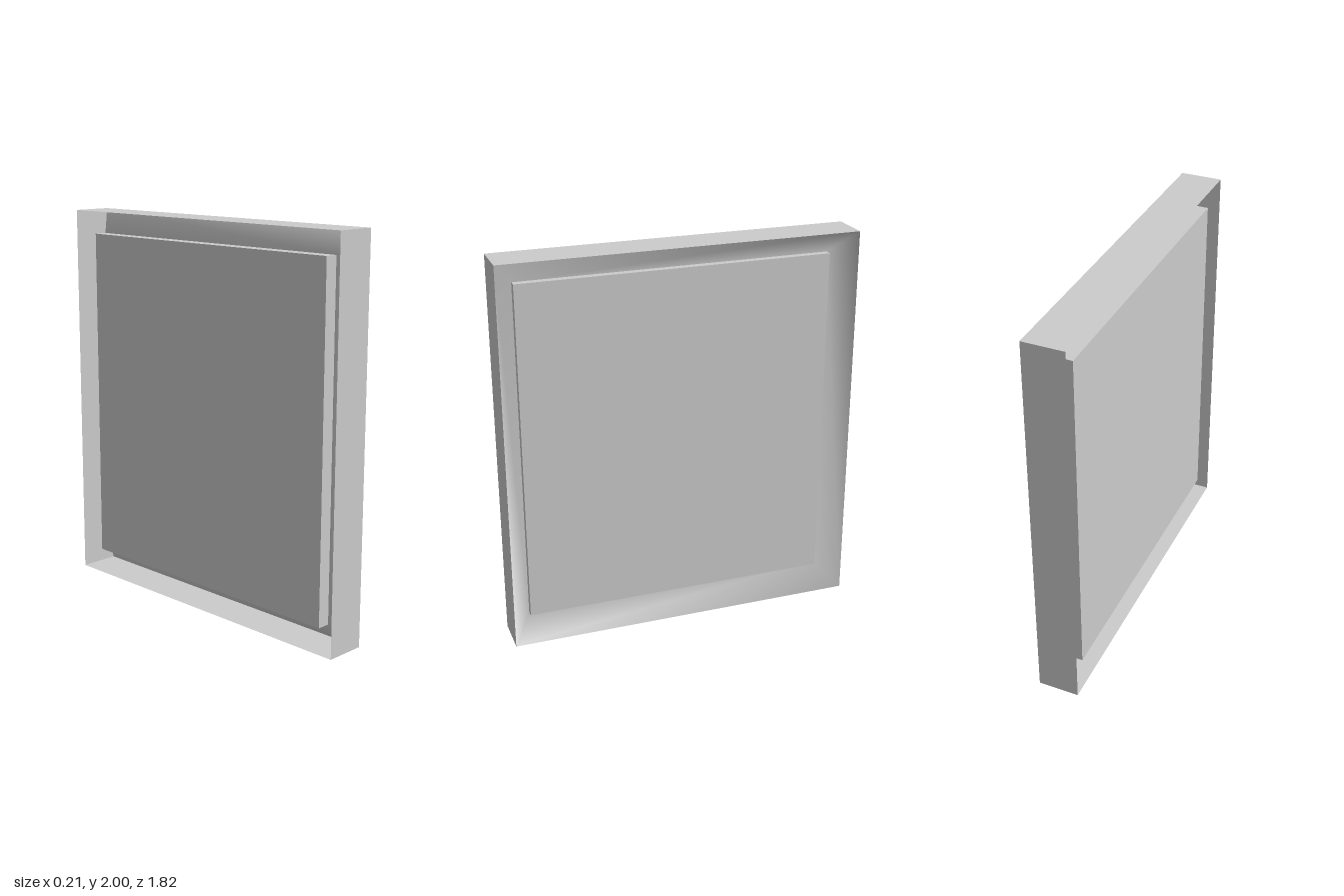
import * as THREE from 'three';

const HALF_X = 0.105; // half the depth of the frame
const DISH_X = -0.01; // depth of the sunken backing

// Rectangle of four corners at depth x, counter-clockwise seen from +x
function ring(x, z0, z1, y0, y1) {
  return [[x, y0, z1], [x, y0, z0], [x, y1, z0], [x, y1, z1]];
}

// Band of quads between two rings, optionally closed by a flat quad on the second
function loft(a, b, closed) {
  const index = [];
  for (let i = 0; i < 4; i++) {
    const j = (i + 1) % 4;
    index.push(i, j, 4 + j, i, 4 + j, 4 + i);
  }
  if (closed) index.push(4, 5, 6, 4, 6, 7);
  const geometry = new THREE.BufferGeometry();
  geometry.setAttribute('position', new THREE.Float32BufferAttribute([...a, ...b].flat(), 3));
  geometry.setIndex(index);
  geometry.computeVertexNormals();
  return geometry;
}

export function createModel() {
  const group = new THREE.Group();
  const add = (name, geometry, options = {}) => {
    const material = new THREE.MeshStandardMaterial({ color: 0xcccccc, ...options });
    const mesh = new THREE.Mesh(geometry, material);
    mesh.name = name;
    group.add(mesh);
    return mesh;
  };

  const back = ring(-HALF_X, -0.91, 0.91, 0, 2);
  const front = ring(HALF_X, -0.91, 0.91, 0, 2);
  const inner = ring(DISH_X, -0.79, 0.81, 0.12, 1.88);

  // Thin outer walls, open towards -x
  add('frameWalls', loft(back, front, false), { side: THREE.DoubleSide, flatShading: true });

  // Softly shaded bevel sinking from the front rim to the backing
  add('dishedBacking', loft(front, inner, true), { side: THREE.DoubleSide });

  // Flat slab set through the middle of the backing
  const panel = add('panel', new THREE.BoxGeometry(0.104, 1.76, 1.6));
  panel.position.set(-0.025, 1, 0.01);

  return group;
}
